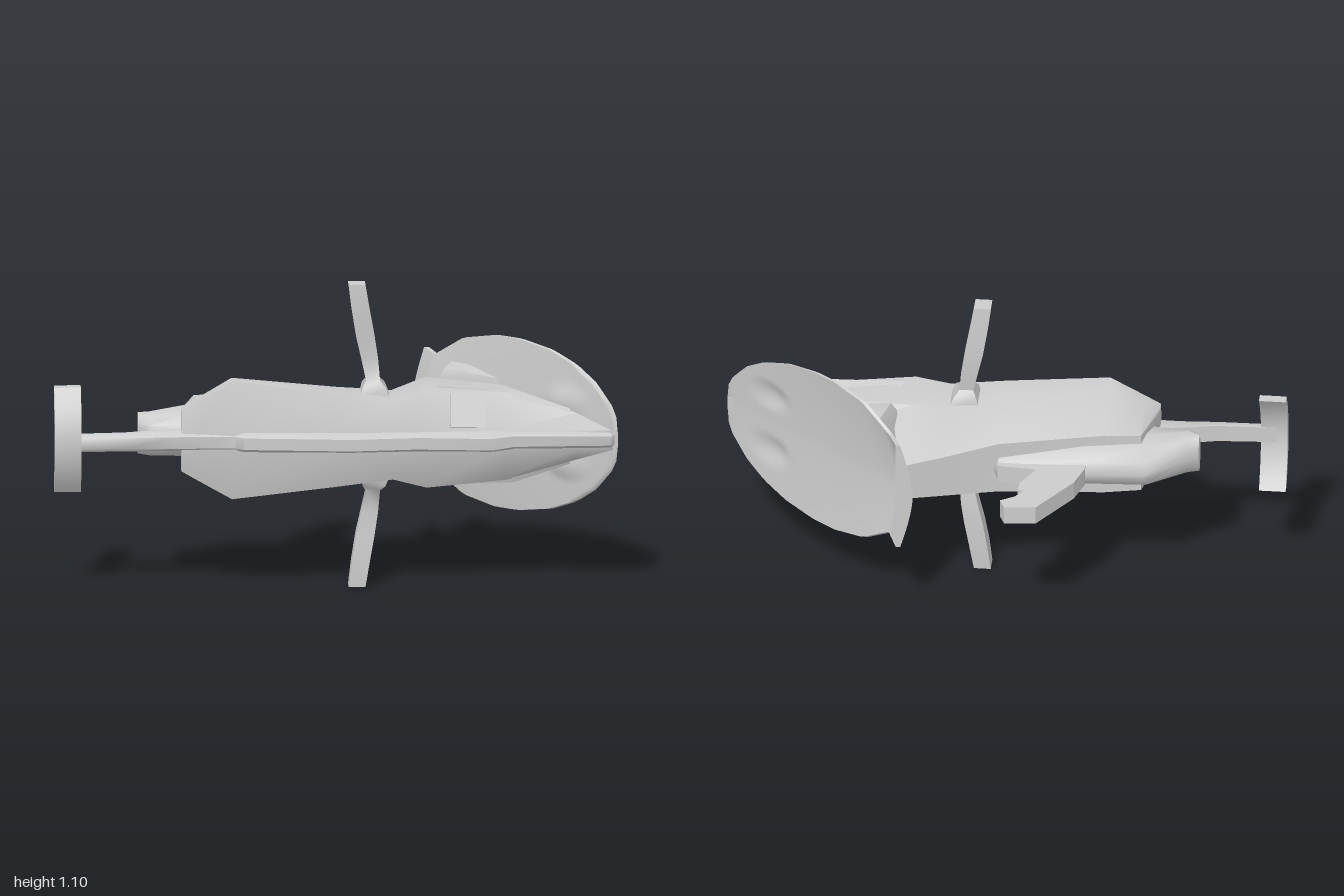
import * as THREE from 'three';
import { toCreasedNormals } from 'three/addons/utils/BufferGeometryUtils.js';

const material = new THREE.MeshStandardMaterial({ color: 0xcccccc });

// Skin a row of equal-length closed rings, cap the ends, face outward
function loft(rings, crease = 0.9) {
  const n = rings[0].length, pos = rings.flat(2), idx = [];
  for (let i = 0; i < rings.length - 1; i++)
    for (let j = 0; j < n; j++) {
      const a = i * n + j, b = i * n + (j + 1) % n;
      idx.push(a, b, b + n, a, b + n, a + n);
    }
  const last = (rings.length - 1) * n;
  for (let j = 1; j < n - 1; j++)
    idx.push(0, j + 1, j, last, last + j, last + j + 1);
  const P = k => new THREE.Vector3().fromArray(pos, k * 3);
  let volume = 0;
  for (let k = 0; k < idx.length; k += 3)
    volume += P(idx[k]).dot(P(idx[k + 1]).cross(P(idx[k + 2])));
  if (volume < 0) idx.reverse();
  const g = new THREE.BufferGeometry();
  g.setAttribute('position', new THREE.Float32BufferAttribute(pos, 3));
  g.setIndex(idx);
  return toCreasedNormals(g, crease);
}

function part(name, geometry, parent) {
  const mesh = new THREE.Mesh(geometry, material);
  mesh.name = name;
  parent.add(mesh);
  return mesh;
}

// Flat outline in x and z, given thickness along y
function plate(points, thickness) {
  const shape = new THREE.Shape(points.map(([x, z]) => new THREE.Vector2(x, -z)));
  const g = new THREE.ExtrudeGeometry(shape, { depth: thickness, bevelEnabled: false });
  return g.translate(0, 0, -thickness / 2).rotateX(-Math.PI / 2);
}

// Piecewise linear lookup in [key, value] pairs with rising keys
function lookup(table, k) {
  for (let i = 1; i < table.length; i++) {
    const [a, va] = table[i - 1], [b, vb] = table[i];
    if (k <= b) return va + (vb - va) * (k - a) / (b - a);
  }
  return table[table.length - 1][1];
}

export function createModel() {
  const model = new THREE.Group();
  const ship = new THREE.Group();
  ship.name = 'ship';
  ship.position.y = 0.553;
  model.add(ship);

  // Hull: x, front z, shoulder z, half height, side z, back z, back half height
  const hull = [
    [-0.55, 0.265, 0.25, 0.11, 0.22, 0.21, 0.1],
    [-0.5, 0.27, 0.248, 0.14, 0.2, 0.03, 0.115],
    [-0.37, 0.28, 0.243, 0.215, 0.19, 0.01, 0.12],
    [0, 0.295, 0.255, 0.17, 0.15, -0.05, 0.1],
    [0.2, 0.295, 0.255, 0.145, 0.1, -0.13, 0.08],
    [0.32, 0.29, 0.235, 0.18, 0.05, -0.175, 0.07],
    [0.6, 0.28, 0.21, 0.16, 0.1, 0.045, 0.06],
    [0.85, 0.28, 0.225, 0.085, 0.215, 0.21, 0.04],
    [0.98, 0.29, 0.28, 0.03, 0.275, 0.268, 0.02],
  ].map(([x, zf, zs, h, zm, zb, hb]) => {
    const half = [[zf, 0.035], [zs, h], [zm, h], [zb, hb]];
    return [...half.map(([z, y]) => [x, y, z]), ...half.reverse().map(([z, y]) => [x, -y, z])];
  });
  part('hull', loft(hull), ship);

  // Spine along the front: x, front z, back z, half height
  const spine = [
    [-0.96, 0.29, 0.255, 0.03], [-0.75, 0.285, 0.245, 0.032], [-0.58, 0.28, 0.21, 0.035],
    [-0.36, 0.285, 0.23, 0.035], [-0.33, 0.308, 0.23, 0.035], [0.05, 0.345, 0.23, 0.035],
    [0.28, 0.322, 0.23, 0.035], [0.55, 0.347, 0.23, 0.035], [0.63, 0.3, 0.23, 0.032],
    [0.97, 0.305, 0.26, 0.027], [0.995, 0.275, 0.27, 0.025],
  ].map(([x, zf, zb, h]) => [
    [x, h * 0.6, zf], [x, h, zf - 0.35 * (zf - zb)], [x, h, zb],
    [x, -h, zb], [x, -h, zf - 0.35 * (zf - zb)], [x, -h * 0.6, zf],
  ]);
  part('spine', loft(spine), ship);

  // Curved crossbar at the end of the tail
  const bar = [];
  for (let i = 0; i <= 12; i++) {
    const y = -0.19 + 0.38 * i / 12, t = Math.abs(y) / 0.19;
    const zf = 0.293 - 0.075 * t * t, zb = 0.258 - 0.078 * t * t;
    bar.push([[-1, y, zf], [-0.905, y, zf], [-0.905, y, zb], [-1, y, zb]]);
  }
  part('tailCrossbar', loft(bar), ship);

  // Slanted dish: a thin shell, bowed along its midline, with two shallow dents and a bent rear flap
  const width = [
    [-0.268, 0.215], [-0.185, 0.207], [-0.11, 0.285], [-0.03, 0.312], [0.03, 0.312],
    [0.11, 0.289], [0.17, 0.25], [0.22, 0.195], [0.27, 0.1], [0.288, 0.01],
  ];
  const dish = [], rows = 40, cols = 40;
  for (let i = 0; i <= rows; i++) {
    const z = -0.268 + 0.556 * i / rows, h = lookup(width, z);
    const base = lookup([[-0.268, 0.345], [-0.185, 0.378], [0.27, 0.99], [0.288, 0.998]], z);
    const bow = lookup([[-0.268, 0.045], [0, 0.035], [0.2, 0.015], [0.288, 0]], z);
    const outer = [], inner = [];
    for (let j = 0; j <= cols; j++) {
      const s = 2 * j / cols - 1, y = s * h;
      const r = Math.hypot((z - 0.165) / 0.06, (Math.abs(y) - 0.115) / 0.07);
      const dent = r < 1 ? 0.025 * (1 - r * r) ** 2 : 0;
      const x = base - bow * (1 - Math.abs(s) ** 1.5) - dent;
      outer.push([x, y, z]);
      inner.unshift([x - 0.016, y, z]);
    }
    dish.push([...outer, ...inner]);
  }
  part('dish', loft(dish), ship);

  // Engine pod behind the hull: x, front z, back z, half height
  const pod = [
    [-0.7, 0.15, 0.08, 0.075], [-0.66, 0.19, 0.06, 0.08], [-0.52, 0.22, -0.06, 0.09],
    [-0.3, 0.2, -0.07, 0.09], [0, 0.15, -0.09, 0.06], [0.02, 0.1, -0.05, 0.03],
  ].map(([x, zf, zb, h]) => Array.from({ length: 12 }, (_, k) => {
    const a = k * Math.PI / 6;
    return [x, h * Math.sin(a), (zf + zb) / 2 + (zf - zb) / 2 * Math.cos(a)];
  }));
  part('enginePod', loft(pod), ship);

  // Hooked fin at the back
  part('backFin', plate([
    [-0.31, -0.03], [-0.31, -0.08], [-0.28, -0.17], [-0.16, -0.345], [-0.05, -0.355], [-0.03, -0.31],
    [-0.08, -0.28], [-0.11, -0.24], [-0.085, -0.235], [-0.09, -0.19], [-0.14, -0.1], [0, -0.09], [0, -0.03],
  ], 0.068), ship);

  // Parts that repeat above and below the spine
  for (const side of [1, -1]) {
    const half = new THREE.Group();
    half.name = side > 0 ? 'upperSide' : 'lowerSide';
    half.scale.y = side;
    ship.add(half);

    // Arm: y, centre x, half width, front z, back z
    const arm = [
      [0.12, 0.14, 0.06, 0.21, 0.11], [0.18, 0.135, 0.04, 0.21, 0.11], [0.2, 0.132, 0.025, 0.185, 0.135],
      [0.28, 0.12, 0.03, 0.18, 0.125], [0.36, 0.105, 0.033, 0.185, 0.122],
      [0.46, 0.088, 0.032, 0.195, 0.124], [0.55, 0.075, 0.03, 0.193, 0.13],
    ].map(([y, x, w, zf, zb]) => [[x - w, y, zf], [x + w, y, zf], [x + w, y, zb], [x - w, y, zb]]);
    part('arm', loft(arm), half);

    // Small wedge fairing between hull and dish
    part('dishFairing', loft([
      [[0.36, 0.1, 0.03], [0.36, 0.1, -0.13], [0.59, 0.1, 0.04]],
      [[0.37, 0.17, 0.03], [0.4, 0.17, -0.11], [0.58, 0.17, 0.04]],
      [[0.39, 0.205, 0.02], [0.42, 0.205, -0.09], [0.48, 0.205, -0.03]],
    ]), half);

    // Wedge running along the shoulder toward the dish edge
    part('shoulderWedge', loft([
      [[0.36, 0.1, 0.21], [0.36, 0.18, 0.2], [0.36, 0.17, 0.1]],
      [[0.63, 0.09, 0.24], [0.63, 0.17, 0.205], [0.63, 0.15, 0.13]],
      [[0.83, 0.07, 0.235], [0.83, 0.1, 0.22], [0.83, 0.08, 0.205]],
    ]), half);
  }

  // Small panel on the upper front face
  const panel = part('frontPanel', new THREE.BoxGeometry(0.125, 0.12, 0.02), ship);
  panel.position.set(0.465, 0.1, 0.248);
  panel.rotation.set(-0.45, 0.12, 0);

  return model;
}
